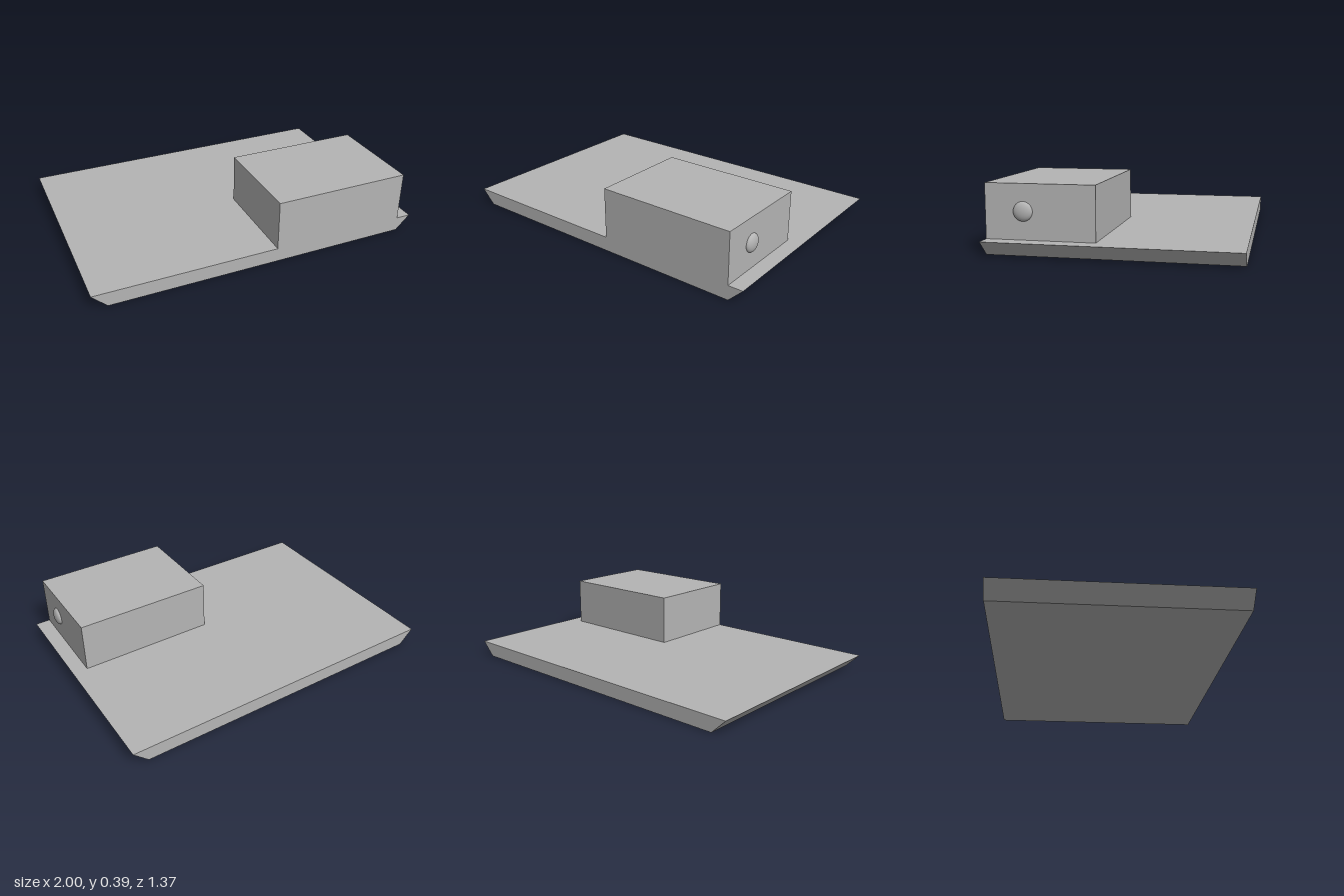
import * as THREE from 'three';

export function createModel() {
  const model = new THREE.Group();
  const grey = new THREE.MeshStandardMaterial({ color: 0xb4b4b4 });
  grey.name = 'plain grey';

  const top = 0.085;    // height of the slab
  const depth = 0.687;  // half depth of the slab

  function add(name, geometry, x, y, z) {
    const mesh = new THREE.Mesh(geometry, grey);
    mesh.name = name;
    mesh.position.set(x, y, z);
    model.add(mesh);
    return mesh;
  }

  // Slab with both ends undercut at 45 degrees
  const profile = new THREE.Shape([
    new THREE.Vector2(-0.914, 0),
    new THREE.Vector2(0.914, 0),
    new THREE.Vector2(1, top),
    new THREE.Vector2(-1, top),
  ]);
  add('baseSlab', new THREE.ExtrudeGeometry(profile, { depth: 2 * depth, bevelEnabled: false }), 0, 0, -depth);

  // Block flush with the front edge of the slab
  add('block', new THREE.BoxGeometry(0.822, 0.3, 0.602), 0.5, top + 0.15, depth - 0.301);

  // Shallow domed knob on the left end of the block
  const dome = new THREE.SphereGeometry(0.053, 40, 16, 0, Math.PI * 2, 0, Math.PI / 2);
  dome.scale(1, 0.47, 1);
  dome.rotateZ(-Math.PI / 2);
  add('knob', dome, 0.911, 0.237, 0.478);

  return model;
}
